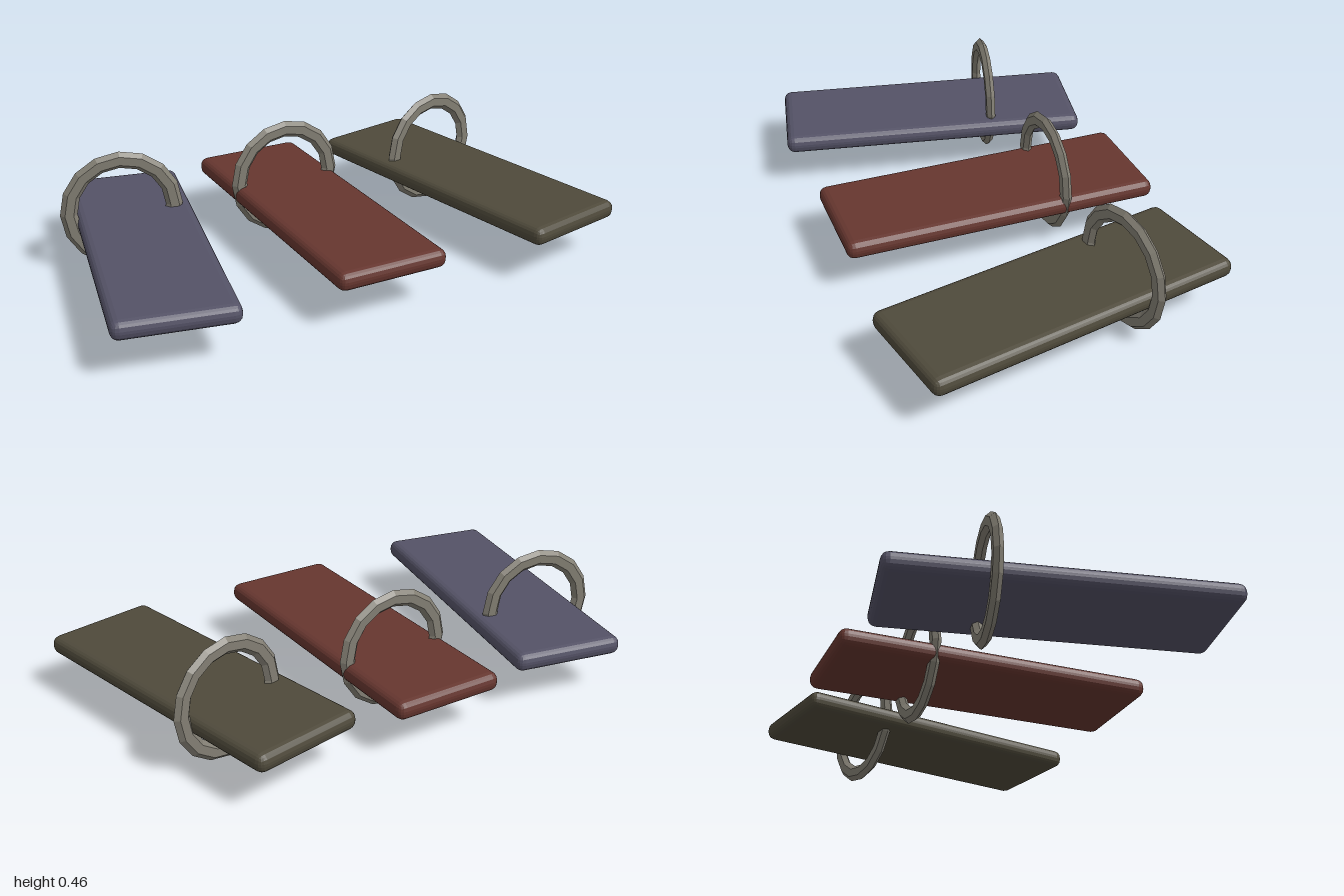
import * as THREE from 'three';
import { RoundedBoxGeometry } from 'three/addons/geometries/RoundedBoxGeometry.js';

const makeMaterial = (name, color) => {
  const material = new THREE.MeshStandardMaterial({ color });
  material.name = name;
  return material;
};

// Split the faces so every facet gets its own flat normal
function faceted(geometry) {
  const flat = geometry.index ? geometry.toNonIndexed() : geometry;
  flat.computeVertexNormals();
  return flat;
}

export function createModel() {
  const model = new THREE.Group();
  model.name = 'ringedSlabs';

  const metal = makeMaterial('warmGrey', 0x827e73);
  const blue = makeMaterial('slateBlue', 0x545266);
  const red = makeMaterial('brickRed', 0x66362f);
  const olive = makeMaterial('olive', 0x4f4a3b);

  // Flat slab with softly bevelled edges
  const slabGeometry = faceted(new RoundedBoxGeometry(0.43, 0.07, 1.2, 2, 0.03));

  // Hexagonal-section ring, flattened front to back
  const ringGeometry = faceted(new THREE.TorusGeometry(0.196, 0.032, 6, 16).scale(1, 1, 0.62));

  // The outer pairs fan out towards the front
  const pairs = [
    ['right', -0.675, -0.2, blue],
    ['middle', 0, 0, red],
    ['left', 0.675, 0.2, olive],
  ];
  for (const [side, x, turn, material] of pairs) {
    const slab = new THREE.Mesh(slabGeometry, material);
    slab.name = side + 'Slab';
    slab.position.set(x, 0.186, 0);
    slab.rotation.y = turn;

    const ring = new THREE.Mesh(ringGeometry, metal);
    ring.name = side + 'Ring';
    ring.position.set(x, 0.23, -0.243);
    ring.rotation.y = turn;

    model.add(slab, ring);
  }
  return model;
}
